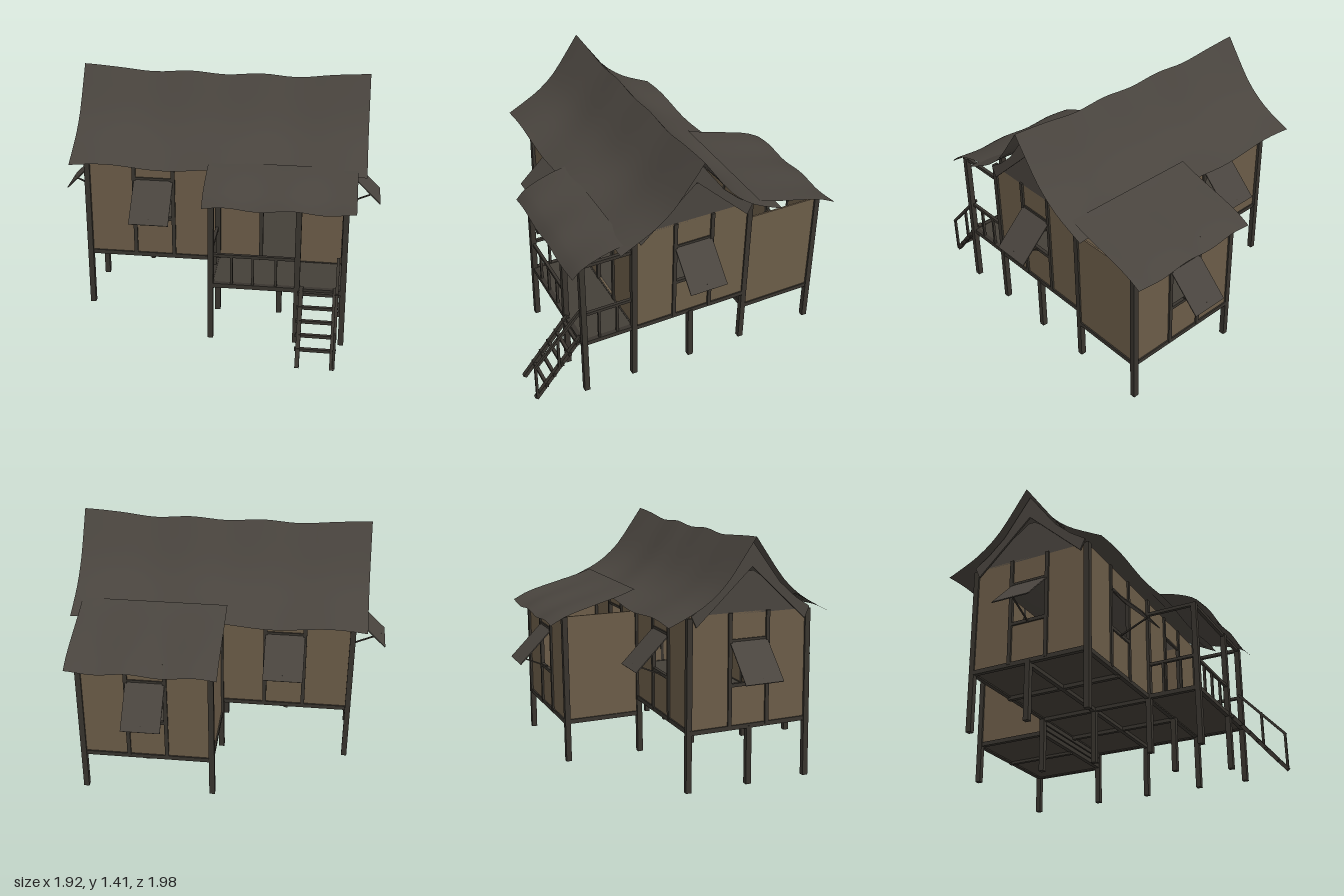
import * as THREE from 'three';

const mat = (name, color, side = THREE.FrontSide) => {
  const m = new THREE.MeshStandardMaterial({ color, side });
  m.name = name;
  return m;
};

export function createModel() {
  const wallMat = mat('woven wall', 0x6b5c48);
  const thatch = mat('thatch', 0x49443e, THREE.DoubleSide);
  const timber = mat('dark timber', 0x38342e);
  const floorMat = mat('floor boards', 0x443f38);
  const house = new THREE.Group();
  house.name = 'stiltHouse';

  const add = (parent, name, geo, material) => {
    const m = new THREE.Mesh(geo, material);
    m.name = name;
    parent.add(m);
    return m;
  };
  // Square bar between two points, in the parent's own frame
  const zAxis = new THREE.Vector3(0, 0, 1);
  const bar = (name, a, b, t = 0.02, parent = house) => {
    const p = new THREE.Vector3(...a), q = new THREE.Vector3(...b);
    const m = add(parent, name, new THREE.BoxGeometry(t, t, p.distanceTo(q)), timber);
    m.position.copy(p).add(q).multiplyScalar(0.5);
    m.quaternion.setFromUnitVectors(zAxis, q.sub(p).normalize());
  };
  const slab = (name, x0, x1, y0, y1, z0, z1, material) => {
    const m = add(house, name, new THREE.BoxGeometry(x1 - x0, y1 - y0, z1 - z0), material);
    m.position.set((x0 + x1) / 2, (y0 + y1) / 2, (z0 + z1) / 2);
  };

  // Propped shutter, hinged above an opening in the local xy plane
  const shutter = (parent, x0, x1, top, d) => {
    const tilt = Math.PI / 4, len = 0.28, cx = (x0 + x1) / 2;
    const m = add(parent, 'shutter', new THREE.BoxGeometry(x1 - x0, len, 0.006), thatch);
    m.position.set(cx, top - len / 2 * Math.cos(tilt), d + len / 2 * Math.sin(tilt));
    m.rotation.x = -tilt;
    bar('shutterProp', [cx, top - 0.255, d], [cx, top - 0.175, d + 0.178], 0.008, parent);
  };

  // Wall with openings [x0, x1, y0, y1, hasShutter], turned to face outwards
  const wall = (name, yaw, d, a, b, y0, y1, openings = []) => {
    const g = new THREE.Group();
    g.name = name;
    g.rotation.y = yaw;
    house.add(g);
    const rect = (Type, l, r, bot, top) => new Type([[l, bot], [r, bot], [r, top], [l, top]]
      .map(p => new THREE.Vector2(...p)));
    const shape = rect(THREE.Shape, a, b, y0, y1);
    for (const [l, r, bot, top, hasShutter] of openings) {
      shape.holes.push(rect(THREE.Path, l, r, bot, top));
      for (const x of [l, r]) bar('openingPost', [x, y0, d], [x, y1, d], 0.022, g);
      bar('lintel', [l, top + 0.006, d], [r, top + 0.006, d], 0.014, g);
      if (hasShutter) {
        bar('sill', [l, bot - 0.006, d], [r, bot - 0.006, d], 0.02, g);
        shutter(g, l, r, top, d);
      }
    }
    const geo = new THREE.ExtrudeGeometry(shape, { depth: 0.01, bevelEnabled: false });
    geo.translate(0, 0, d - 0.01);
    add(g, 'wallPanel', geo, wallMat);
    bar('baseBeam', [a, y0, d - 0.005], [b, y0, d - 0.005], 0.026, g);
  };

  const half = Math.PI / 2;
  wall('frontWall', 0, 0.39, -0.76, 0.76, 0.35, 0.99,
    [[-0.48, -0.25, 0.6, 0.84, true], [0.27, 0.49, 0.365, 0.85, false]]);
  wall('backWall', Math.PI, 0.33, -0.76, 0.76, 0.35, 0.99,
    [[0.25, 0.48, 0.6, 0.84, true], [-0.49, -0.27, 0.365, 0.85, false]]);
  wall('leftWall', half, 0.76, -0.39, 0.33, 0.35, 1.0, [[-0.14, 0.09, 0.6, 0.84, true]]);
  wall('rightWall', -half, 0.76, -0.33, 0.39, 0.35, 1.0, [[-0.09, 0.14, 0.6, 0.84, true]]);
  wall('annexBackWall', Math.PI, 0.79, -0.76, -0.01, 0.25, 0.89, [[-0.49, -0.27, 0.5, 0.76, true]]);
  wall('annexLeftWall', half, 0.76, 0.33, 0.79, 0.25, 0.89);
  wall('annexRightWall', -half, -0.01, -0.79, -0.33, 0.25, 0.89);

  // Floors and the joists under them
  slab('mainFloor', -0.76, 0.76, 0.345, 0.36, -0.33, 0.39, floorMat);
  slab('porchFloor', 0.01, 0.76, 0.345, 0.36, 0.39, 0.71, floorMat);
  slab('annexFloor', 0.01, 0.76, 0.245, 0.26, -0.79, -0.33, floorMat);
  for (const x of [-0.38, 0.01, 0.38]) bar('floorJoist', [x, 0.335, -0.33], [x, 0.335, 0.39], 0.024);
  bar('floorJoist', [-0.76, 0.335, 0.03], [0.76, 0.335, 0.03], 0.026);
  bar('porchEdge', [0.01, 0.35, 0.7], [0.76, 0.35, 0.7], 0.026);
  for (const x of [0.01, 0.75]) bar('porchEdge', [x, 0.35, 0.39], [x, 0.35, 0.7], 0.026);
  for (const y of [0.255, 0.29, 0.325]) bar('annexStepBeam', [0.01, y, -0.33], [0.76, y, -0.33], 0.028);
  bar('annexJoist', [0.38, 0.24, -0.79], [0.38, 0.24, -0.33], 0.024);

  // Stilts: x, z, top
  const stilts = [
    [-0.755, 0.39, 0.99], [-0.755, 0.03, 0.35], [-0.755, -0.33, 0.99],
    [0.015, 0.39, 0.99], [0.015, 0.03, 0.35], [0.015, -0.33, 0.99],
    [0.755, 0.39, 1.0], [0.755, 0.03, 0.35], [0.755, -0.33, 1.0], [0.38, 0.39, 0.35],
    [0.015, 0.7, 0.9], [0.5, 0.7, 0.9], [0.755, 0.7, 0.9],
    [0.015, -0.785, 0.89], [0.755, -0.785, 0.89],
  ];
  stilts.forEach(([x, z, top], i) => {
    const lean = ((i * 7) % 5 - 2) * 0.003;
    bar('stilt', [x + lean, 0.005, z - lean], [x, top, z], 0.032);
  });

  // Porch frame and railings
  bar('porchBeam', [0.01, 0.89, 0.7], [0.76, 0.89, 0.7]);
  for (const x of [0.01, 0.75]) {
    bar('porchBeam', [x, 0.89, 0.39], [x, 0.89, 0.7]);
    bar('sideRail', [x, 0.555, 0.39], [x, 0.555, 0.7], 0.018);
    for (const z of [0.49, 0.6]) bar('baluster', [x, 0.36, z], [x, 0.555, z], 0.014);
  }
  bar('frontRail', [0.01, 0.54, 0.7], [0.5, 0.54, 0.7], 0.018);
  for (const x of [0.13, 0.25, 0.38]) bar('baluster', [x, 0.36, 0.7], [x, 0.54, 0.7], 0.014);

  // Ladder with one handrail
  for (const x of [0.525, 0.715]) bar('ladderSide', [x, 0.37, 0.7], [x, 0.02, 0.985], 0.024);
  for (let i = 0; i < 5; i++) {
    const y = 0.1 + i * 0.06, z = 0.985 - (y - 0.02) * 0.814;
    bar('ladderRung', [0.505, y, z], [0.735, y, z], 0.018);
  }
  bar('handrail', [0.725, 0.565, 0.7], [0.725, 0.25, 0.985], 0.016);
  bar('handrailPost', [0.725, 0.03, 0.98], [0.725, 0.26, 0.98], 0.014);
  bar('handrailPost', [0.725, 0.2, 0.84], [0.725, 0.42, 0.84], 0.014);

  // Sagging thatch sheet: profile of [z, y] swept along x, with a wave in height
  const sheet = (name, x0, x1, profile, wave) => {
    const curve = new THREE.SplineCurve(profile.map(p => new THREE.Vector2(...p)));
    const geo = new THREE.PlaneGeometry(1, 1, 32, 10);
    const pos = geo.attributes.position;
    for (let i = 0; i < pos.count; i++) {
      const x = x0 + (pos.getX(i) + 0.5) * (x1 - x0), t = 0.5 - pos.getY(i);
      const p = curve.getPoint(t);
      pos.setXYZ(i, x, p.y + wave(x, t), p.x);
    }
    geo.computeVertexNormals();
    add(house, name, geo, thatch);
  };
  const ridge = new THREE.SplineCurve([[-0.83, 0.005], [-0.55, -0.01], [-0.25, -0.028], [-0.14, -0.015],
    [0.05, -0.03], [0.26, -0.016], [0.48, -0.03], [0.7, -0.008], [0.86, 0.005]]
    .map(p => new THREE.Vector2(...p)));
  const mainWave = (x, t) => ridge.getPoint((x + 0.83) / 1.69).y * (1 - t) + 0.012 * t * Math.sin(x * 9 + 1);
  const lowWave = (x, t) => 0.008 * t * Math.sin(x * 17);
  const slope = [[0, 1.41], [0.07, 1.31], [0.17, 1.175], [0.27, 1.085], [0.37, 1.025]];
  sheet('roofFront', -0.83, 0.86, [...slope.map(([z, y]) => [0.03 + z, y]), [0.515, 0.965]], mainWave);
  sheet('roofBack', -0.83, 0.86, [...slope.map(([z, y]) => [0.03 - z, y]), [-0.48, 0.965]], mainWave);
  sheet('porchRoof', -0.03, 0.81, [[0.45, 1.0], [0.54, 0.982], [0.64, 0.95], [0.72, 0.91], [0.77, 0.86]], lowWave);
  sheet('annexRoof', -0.03, 0.81, [[-0.36, 1.03], [-0.46, 0.995], [-0.62, 0.952], [-0.78, 0.905], [-0.88, 0.855]], lowWave);

  // Gable panels and bargeboards at both ends
  const gable = (name, points, x) => {
    const shape = new THREE.Shape(points.map(p => new THREE.Vector2(...p)));
    const geo = new THREE.ExtrudeGeometry(shape, { depth: 0.01, bevelEnabled: false });
    geo.rotateY(-half);
    const m = add(house, name, geo, thatch);
    m.position.x = x + 0.005;
  };
  for (const s of [-1, 1]) {
    gable('gablePanel', [[-0.33, 0.99], [0.39, 0.99], [0.05, 1.225], [0.01, 1.225]], s * 0.755);
    for (const side of [-1, 1]) {
      gable('bargeboard', [[0, 1.385], [0.07, 1.29], [0.17, 1.155], [0.27, 1.065], [0.36, 1.005],
        [0.33, 0.94], [0, 1.25]].map(([z, y]) => [0.03 + side * z, y]), s * 0.78);
    }
  }
  return house;
}
